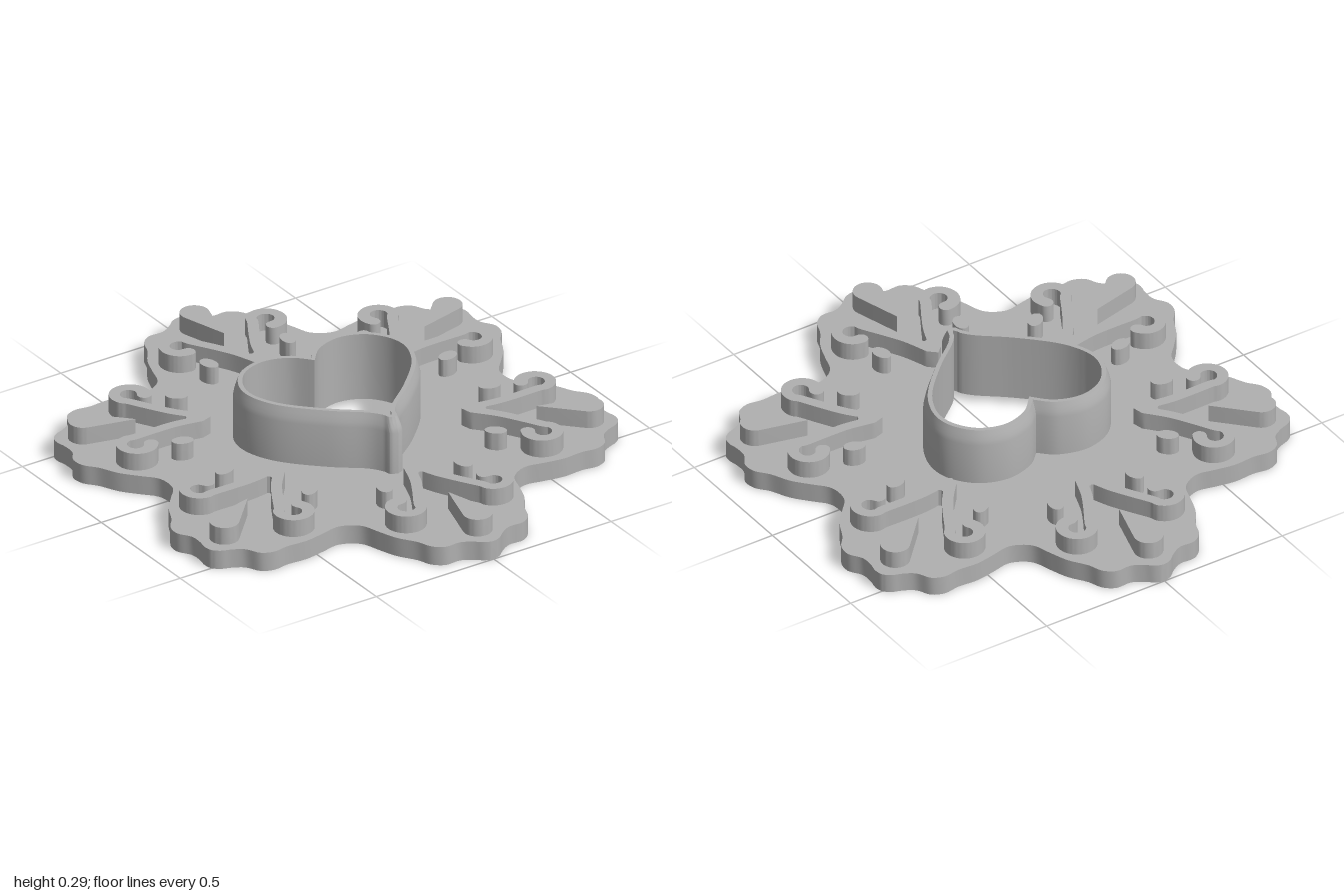
import * as THREE from 'three';
import { toCreasedNormals } from 'three/addons/utils/BufferGeometryUtils.js';

const V = (x, y) => new THREE.Vector2(x, y);
const PLATE = 0.073, ORNAMENT = 0.14, LEDGE = 0.03, LIP = 0.235, TOP = 0.29;

// Shapes are drawn in plan (x right, y towards the back) and raised upward
function raise(points, y0, y1, hole) {
  const shape = new THREE.Shape(points);
  if (hole) shape.holes.push(new THREE.Path(hole));
  const geo = new THREE.ExtrudeGeometry(shape, { depth: y1 - y0, bevelEnabled: false });
  geo.rotateX(-Math.PI / 2).translate(0, y0, 0);
  return toCreasedNormals(geo, 0.6);
}

const mirrorBack = (pts) => pts.map((p) => V(-p.x, p.y)).reverse();

// Scalloped six-lobed outline, from one half lobe
function plateOutline() {
  const half = [[0, 1], [0.032, 0.99], [0.062, 0.965], [0.105, 0.942], [0.165, 0.942], [0.205, 0.912],
    [0.228, 0.857], [0.272, 0.79], [0.3, 0.715], [0.322, 0.652], [0.358, 0.62]].map(([x, y]) => V(x, y));
  const lobe = [...mirrorBack(half).slice(1), ...half.slice(1)];
  const pts = [];
  for (let i = 0; i < 6; i++) {
    for (const p of lobe) pts.push(p.clone().rotateAround(V(0, 0), -i * Math.PI / 3));
  }
  const curve = new THREE.CatmullRomCurve3(pts.map((p) => new THREE.Vector3(p.x, p.y, 0)), true);
  const n = pts.length * 4;
  return Array.from({ length: n }, (_, i) => curve.getPoint(i / n)).map((p) => V(p.x, p.y));
}

// Heart outlines: t = 0 is the outside of the wall, t = 1 the inside, below 0 lies further out
const heartOuter = [[0, 0.18], [0.06, 0.232], [0.165, 0.258], [0.27, 0.225], [0.34, 0.145], [0.358, 0.06],
  [0.335, -0.03], [0.28, -0.115], [0.17, -0.225], [0.075, -0.3], [0.037, -0.35], [0.026, -0.383], [0, -0.395]];
const heartInner = [[0, 0.135], [0.065, 0.2], [0.16, 0.228], [0.25, 0.2], [0.307, 0.135], [0.326, 0.06],
  [0.305, -0.018], [0.255, -0.095], [0.15, -0.2], [0.055, -0.278], [0.018, -0.318], [0.008, -0.34], [0, -0.352]];
function heart(t) {
  const curve = new THREE.SplineCurve(heartOuter.map((p, i) => V(...p).lerp(V(...heartInner[i]), t)));
  const right = curve.getPoints(72);
  // counter-clockwise: down the left side, then up the right side
  return [...right.map((p) => V(-p.x, p.y)), ...right.slice(1, -1).reverse()];
}

// Loops of the heart joined into a wall with a foot, a tapered lip and an open middle
function heartWall(profile) {
  const rings = profile.map(([t, y]) => heart(t).map((p) => [p.x, y, -p.y]));
  const pos = [];
  for (let i = 0; i < rings.length - 1; i++) {
    const lo = rings[i], hi = rings[i + 1], n = lo.length;
    for (let j = 0; j < n; j++) {
      const k = (j + 1) % n;
      pos.push(...lo[j], ...hi[k], ...lo[k], ...lo[j], ...hi[j], ...hi[k]);
    }
  }
  const geo = new THREE.BufferGeometry();
  geo.setAttribute('position', new THREE.Float32BufferAttribute(pos, 3));
  return toCreasedNormals(geo, 0.5);
}

// Pair of arms meeting at a point and curling into scrolls
function scrollOutline() {
  const path = [[0.012, 0.48], [0.045, 0.57], [0.085, 0.645]].map(([x, y]) => V(x, y));
  for (let a = 175; a >= -95; a -= 30) {
    const r = a * Math.PI / 180;
    path.push(V(0.185 + 0.053 * Math.cos(r), 0.72 + 0.053 * Math.sin(r)));
  }
  const curve = new THREE.SplineCurve(path), n = 64;
  const outer = [], inner = [];
  for (let i = 0; i <= n; i++) {
    const p = curve.getPoint(i / n), d = curve.getTangent(i / n);
    const w = 0.02 + 0.006 * Math.max(0, i / n - 0.7) / 0.3;
    outer.push(V(p.x + d.y * w, p.y - d.x * w));
    inner.push(V(p.x - d.y * w, p.y + d.x * w));
    if (i === n) {
      for (let k = 1; k < 8; k++) {
        const a = -Math.PI / 2 + k * Math.PI / 8, c = Math.cos(a) * w, s = Math.sin(a) * w;
        outer.push(V(p.x + d.x * c - d.y * s, p.y + d.y * c + d.x * s));
      }
    }
  }
  const side = [...outer, ...inner.reverse()].filter((p) => p.x > 0.008 && !(p.x < 0.04 && p.y < 0.46));
  return [V(0, 0.445), ...side, V(0, 0.53), ...mirrorBack(side)];
}

// Teardrop with its point towards the middle
function teardropOutline() {
  const pts = [V(0, 0.71)];
  for (let i = 0; i <= 24; i++) {
    const a = -0.25 + (i / 24) * (Math.PI + 0.5);
    pts.push(V(0.053 * Math.cos(a), 0.897 + 0.053 * Math.sin(a)));
  }
  return pts;
}

export function createModel() {
  const model = new THREE.Group();
  model.name = 'heartCutter';
  const grey = new THREE.MeshStandardMaterial({ color: 0xb0b0b0 });
  grey.name = 'grey plastic';
  const add = (parent, name, geo) => {
    const mesh = new THREE.Mesh(geo, grey);
    mesh.name = name;
    parent.add(mesh);
    return mesh;
  };

  // Base plate, open under the heart
  const FOOT = -1.2;
  add(model, 'basePlate', raise(plateOutline(), 0, PLATE, heart(FOOT)));

  // Heart wall with its recessed foot
  add(model, 'heartWall', heartWall([[FOOT, LEDGE], [1, LEDGE], [1, TOP], [0.5, TOP],
    [0.3, 0.272], [0.12, 0.254], [0, LIP], [0, PLATE], [FOOT, PLATE]]));

  // Raised ornaments, one set on each lobe
  const drop = raise(teardropOutline(), PLATE, ORNAMENT);
  const scroll = raise(scrollOutline(), PLATE, ORNAMENT);
  const dotShape = new THREE.EllipseCurve(0, 0, 0.027, 0.04).getPoints(28).slice(0, -1);
  const dot = raise(dotShape, PLATE, ORNAMENT);
  for (let i = 0; i < 6; i++) {
    const lobe = new THREE.Group();
    lobe.name = 'lobeOrnament' + (i + 1);
    lobe.rotation.y = i * Math.PI / 3;
    add(lobe, 'teardrop', drop);
    add(lobe, 'scrollPair', scroll);
    for (const s of [-1, 1]) {
      const m = add(lobe, s < 0 ? 'rightDot' : 'leftDot', dot);
      m.position.set(s * 0.168, 0, -0.555);
      m.rotation.y = -s * 0.2;
    }
    model.add(lobe);
  }
  return model;
}
